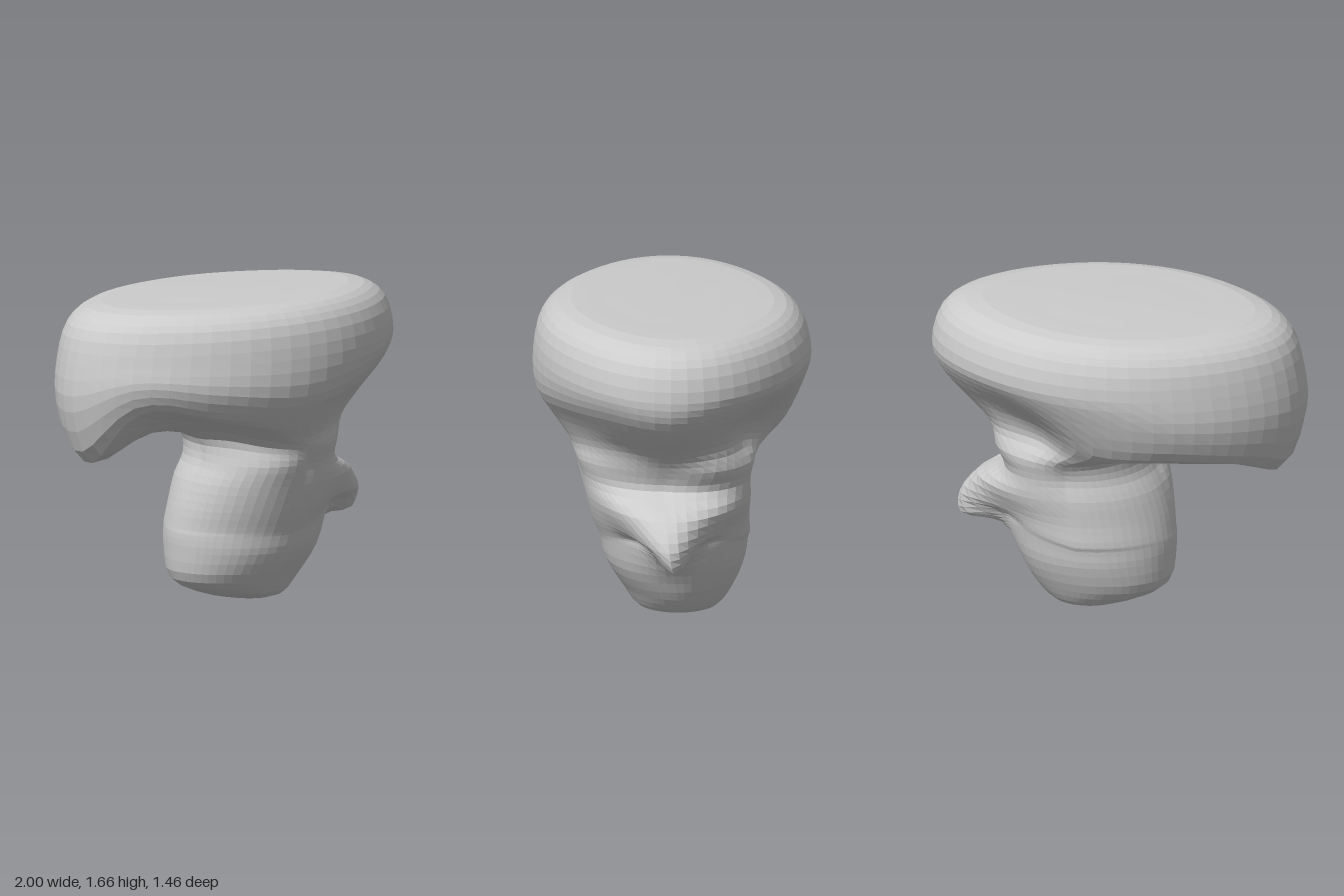
import * as THREE from 'three';
import { mergeVertices } from 'three/addons/utils/BufferGeometryUtils.js';

const material = new THREE.MeshStandardMaterial({ color: 0xcccccc, flatShading: true });

// Oval rows of the crown: centre x, centre z, z stretch, radius, height
const capTop = [
  [0, 0, 0.73, 0, 1.655], [0, 0, 0.73, 0.5, 1.65], [0.01, 0, 0.73, 0.82, 1.63],
  [0.015, 0, 0.735, 0.935, 1.55], [0.01, 0, 0.735, 0.99, 1.37],
];

// Cap underside: [radius, height] at twelve compass points from +x through the
// front; it flares into the neck on the front and +x, and hangs on the -x and back
const underside = [
  { oval: [0, 0, 0.73], keys: [
    [0.97, 1.27], [0.96, 1.28], [0.96, 1.24], [0.98, 1.18], [1, 1.22], [1, 1.25],
    [0.995, 1.1], [0.99, 1.13], [0.99, 1.17], [0.94, 1.2], [0.91, 1.25], [0.94, 1.27]] },
  { oval: [0, 0, 0.73], keys: [
    [0.84, 1.12], [0.82, 1.12], [0.82, 1.08], [0.86, 1.03], [0.9, 1.08], [0.93, 1.12],
    [0.87, 0.82], [0.89, 0.92], [0.88, 0.99], [0.81, 1], [0.7, 1.08], [0.8, 1.12]] },
  { oval: [0.1, 0, 0.9], keys: [
    [0.58, 0.98], [0.56, 0.99], [0.57, 0.96], [0.6, 0.92], [0.66, 1], [0.63, 1.04],
    [0.6, 0.94], [0.6, 0.95], [0.58, 0.94], [0.55, 0.92], [0.49, 0.98], [0.58, 1]] },
  { oval: [0.2, 0.02, 1.15], keys: [
    [0.41, 0.88], [0.4, 0.88], [0.41, 0.87], [0.42, 0.85], [0.44, 0.87], [0.43, 0.9],
    [0.38, 0.88], [0.38, 0.88], [0.38, 0.87], [0.39, 0.86], [0.43, 0.88], [0.47, 0.89]] },
].map(({ oval, keys }) => ({
  oval,
  curve: new THREE.CatmullRomCurve3(keys.map(([r, y]) => new THREE.Vector3(r, y, 0)), true, 'catmullrom', 0.5),
}));

// Stem rows as above, then the skew towards two opposite corners,
// and the nose: reach along +x, angular width, lift of its sides
const stem = [
  [0.2, 0.04, 1.15, 0.375, 0.77, 0.17, 0, 1, 0], [0.18, 0.025, 1.05, 0.41, 0.66, 0.1, 0.17, 0.75, 0],
  [0.16, 0.01, 0.95, 0.435, 0.52, 0.03, 0.27, 0.47, 0.03], [0.145, -0.01, 0.9, 0.44, 0.41, 0, 0.27, 0.28, 0.09],
  [0.14, -0.01, 0.88, 0.44, 0.385, 0, 0.05, 0.4, 0.08], [0.12, -0.015, 0.88, 0.42, 0.29, 0, 0, 1, 0],
  [0.09, -0.03, 0.82, 0.36, 0.13, 0, 0, 1, 0], [0.15, -0.03, 1.05, 0.2, 0.03, 0, 0, 1, 0],
  [0.18, -0.06, 1, 0, 0, 0, 0, 1, 0],
];

// Profile from the crown to the sole at one angle around the axis
function bodyProfile(u) {
  const t = u * Math.PI * 2;
  const fromNose = Math.min(t, Math.PI * 2 - t);
  const capSquash = 1 - 0.035 * Math.sin(2 * t) ** 2;
  const corner = Math.max(0, -Math.sin(2 * t));
  const rows = [
    ...capTop,
    ...underside.map(({ oval, curve }) => {
      const p = curve.getPoint(u);
      return [...oval, p.x, p.y];
    }),
    ...stem,
  ];
  return new THREE.CatmullRomCurve3(rows.map(([cx, cz, zs, radius, y, skew = 0, reach = 0, width = 1, lift = 0], k) => {
    const r = radius * (k < 7 ? capSquash : 1 + skew * corner);
    const nose = Math.exp(-((fromNose / width) ** 2));
    const x = cx + r * Math.cos(t) + reach * nose;
    const z = cz + r * zs * Math.sin(t);
    // the crown tilts slightly
    const tilt = k < 5 ? 0.02 * x + 0.02 * z : 0;
    return new THREE.Vector3(x, y + tilt + lift * (1 - nose) * Math.max(0, Math.cos(t)), z);
  }));
}

// Skin the profiles into one closed surface
function bodyGeometry(nu, nv) {
  const pos = [], index = [];
  const profiles = Array.from({ length: nu }, (_, i) => bodyProfile(i / nu));
  for (let j = 0; j <= nv; j++)
    for (const profile of profiles) pos.push(...profile.getPoint(j / nv).toArray());
  for (let j = 0; j < nv; j++)
    for (let i = 0; i < nu; i++) {
      const a = j * nu + i, b = j * nu + (i + 1) % nu, c = a + nu, d = b + nu;
      if (j > 0) index.push(a, b, c);
      if (j < nv - 1) index.push(b, d, c);
    }
  const raw = new THREE.BufferGeometry();
  raw.setAttribute('position', new THREE.Float32BufferAttribute(pos, 3));
  raw.setIndex(index);
  const geo = mergeVertices(raw, 1e-4);
  geo.computeVertexNormals();
  return geo;
}

export function createModel() {
  const group = new THREE.Group();
  group.name = 'mushroomFigure';
  const body = new THREE.Mesh(bodyGeometry(52, 51), material);
  body.name = 'capStemAndNose';
  group.add(body);
  return group;
}
